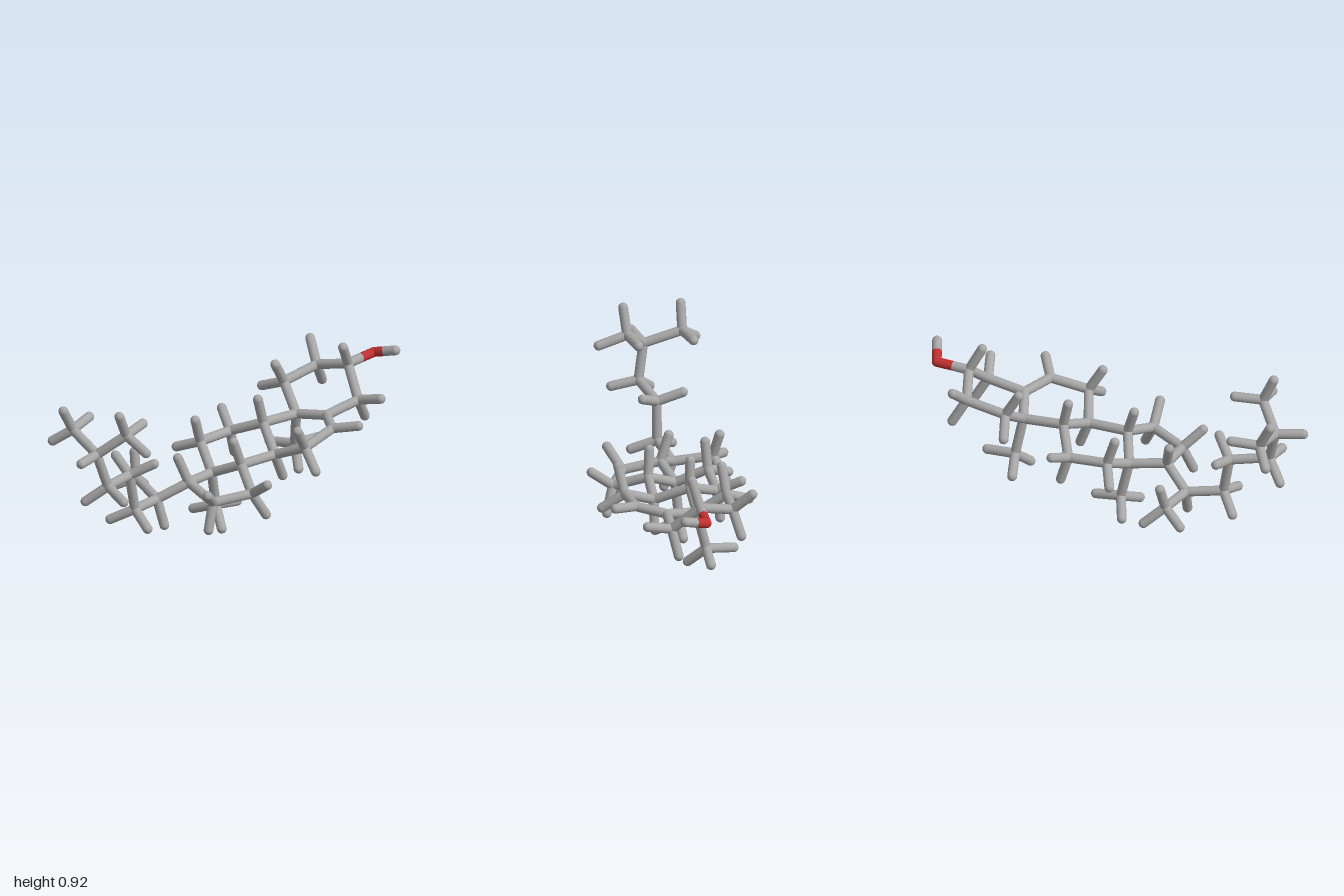
import * as THREE from 'three';

const R = 0.024;       // stick radius
const CH = 0.137;      // carbon to hydrogen length

// Carbon skeleton joints
const C = {
  1: [0.495, 0.528, -0.228], 2: [0.7, 0.554, -0.228], 3: [0.761, 0.608, -0.06],
  4: [0.717, 0.478, 0.074], 5: [0.522, 0.456, 0.07], 6: [0.445, 0.468, 0.212],
  7: [0.254, 0.437, 0.238], 8: [0.188, 0.357, 0.085], 9: [0.25, 0.443, -0.083],
  10: [0.46, 0.42, -0.088], 11: [0.16, 0.368, -0.229], 12: [-0.038, 0.381, -0.213],
  13: [-0.09, 0.29, -0.06], 14: [-0.02, 0.37, 0.083], 15: [-0.085, 0.3, 0.248],
  16: [-0.27, 0.282, 0.175], 17: [-0.27, 0.315, -0.013], 18: [-0.052, 0.095, -0.075],
  19: [0.485, 0.23, -0.13], 20: [-0.405, 0.235, -0.093], 21: [-0.38, 0.265, -0.287],
  22: [-0.583, 0.26, -0.042], 23: [-0.615, 0.458, -0.045], 24: [-0.8, 0.483, 0.018],
  25: [-0.845, 0.66, -0.012], 26: [-0.842, 0.718, -0.203], 27: [-0.738, 0.77, 0.083],
};

// Chains of connected joints: rings, then side branches
const CHAINS = [
  [10, 1, 2, 3, 4, 5, 10], [5, 6, 7, 8, 9, 10], [9, 11, 12, 13, 14, 8],
  [14, 15, 16, 17, 13], [13, 18], [10, 19], [17, 20, 21],
  [20, 22, 23, 24, 25, 26], [25, 27],
];

// Tips of the three-pronged branch ends
const TIPS = {
  18: [[-0.105, 0.025, 0.037], [0.08, 0.07, -0.075], [-0.105, 0.045, -0.185]],
  19: [[0.44, 0.14, -0.045], [0.632, 0.215, -0.132], [0.44, 0.2, -0.271]],
  21: [[-0.487, 0.22, -0.355], [-0.287, 0.177, -0.34], [-0.365, 0.388, -0.318]],
  26: [[-0.9, 0.838, -0.204], [-0.71, 0.73, -0.24], [-0.908, 0.647, -0.278]],
  27: [[-0.79, 0.895, 0.095], [-0.605, 0.776, 0.046], [-0.728, 0.727, 0.225]],
};

const OXYGEN = [0.928, 0.612, -0.068];
const OXYGEN_TIP = [0.974, 0.652, 0.043];

export function createModel() {
  const model = new THREE.Group();
  const grey = new THREE.MeshStandardMaterial({ color: 0xa6a6a6 });
  grey.name = 'stick grey';
  const red = new THREE.MeshStandardMaterial({ color: 0xc03030 });
  red.name = 'oxygen red';

  const V = (p) => new THREE.Vector3(...p);
  const ball = new THREE.SphereGeometry(R, 20, 14);
  const rod = new THREE.CylinderGeometry(R, R, 1, 20, 1, true);
  const up = new THREE.Vector3(0, 1, 0);

  const groups = {};
  for (const name of ['skeletonSticks', 'skeletonJoints', 'hydrogenSticks', 'oxygenBend']) {
    groups[name] = new THREE.Group();
    groups[name].name = name;
    model.add(groups[name]);
  }

  function addStick(group, a, b, material, name) {
    const d = b.clone().sub(a);
    const mesh = new THREE.Mesh(rod, material);
    mesh.name = name;
    mesh.scale.y = d.length();
    mesh.position.copy(a).add(b).multiplyScalar(0.5);
    mesh.quaternion.setFromUnitVectors(up, d.normalize());
    groups[group].add(mesh);
  }

  function addBall(group, p, material, name) {
    const mesh = new THREE.Mesh(ball, material);
    mesh.name = name;
    mesh.position.copy(p);
    groups[group].add(mesh);
  }

  function addHydrogen(from, to) {
    addStick('hydrogenSticks', from, to, grey, 'hydrogenStick');
    addBall('hydrogenSticks', to, grey, 'hydrogenTip');
  }

  // Skeleton sticks and joints
  const joints = {};
  const links = {};
  for (const id in C) {
    joints[id] = V(C[id]);
    links[id] = [];
    addBall('skeletonJoints', joints[id], grey, 'joint');
  }
  for (const chain of CHAINS) {
    for (let i = 1; i < chain.length; i++) {
      const a = chain[i - 1], b = chain[i];
      links[a].push(joints[b]);
      links[b].push(joints[a]);
      addStick('skeletonSticks', joints[a], joints[b], grey, 'skeletonStick');
    }
  }

  // Oxygen bend: each neighbouring stick is red on its near half
  const o = V(OXYGEN), tip = V(OXYGEN_TIP);
  links[3].push(o);
  for (const end of [joints[3], tip]) {
    const mid = end.clone().add(o).multiplyScalar(0.5);
    addStick('oxygenBend', o, mid, red, 'oxygenHalfStick');
    addStick('oxygenBend', mid, end, grey, 'plainHalfStick');
  }
  addBall('oxygenBend', o, red, 'oxygenJoint');
  addBall('oxygenBend', tip, grey, 'oxygenHydrogenTip');

  // Hydrogen sticks fill the free tetrahedral directions of each joint
  for (const id in C) {
    const c = joints[id];
    if (TIPS[id]) {
      TIPS[id].forEach((t) => addHydrogen(c, V(t)));
      continue;
    }
    if (id === '5' || links[id].length > 3) continue;
    const dirs = links[id].map((p) => p.clone().sub(c).normalize());
    const away = new THREE.Vector3();
    dirs.forEach((d) => away.sub(d));
    away.normalize();
    if (dirs.length === 3 || id === '6') {
      addHydrogen(c, c.clone().addScaledVector(away, CH));
    } else {
      const side = dirs[0].clone().cross(dirs[1]).normalize();
      for (const s of [-1, 1]) {
        addHydrogen(c, c.clone().addScaledVector(away, CH * 0.59).addScaledVector(side, s * CH * 0.81));
      }
    }
  }
  return model;
}
